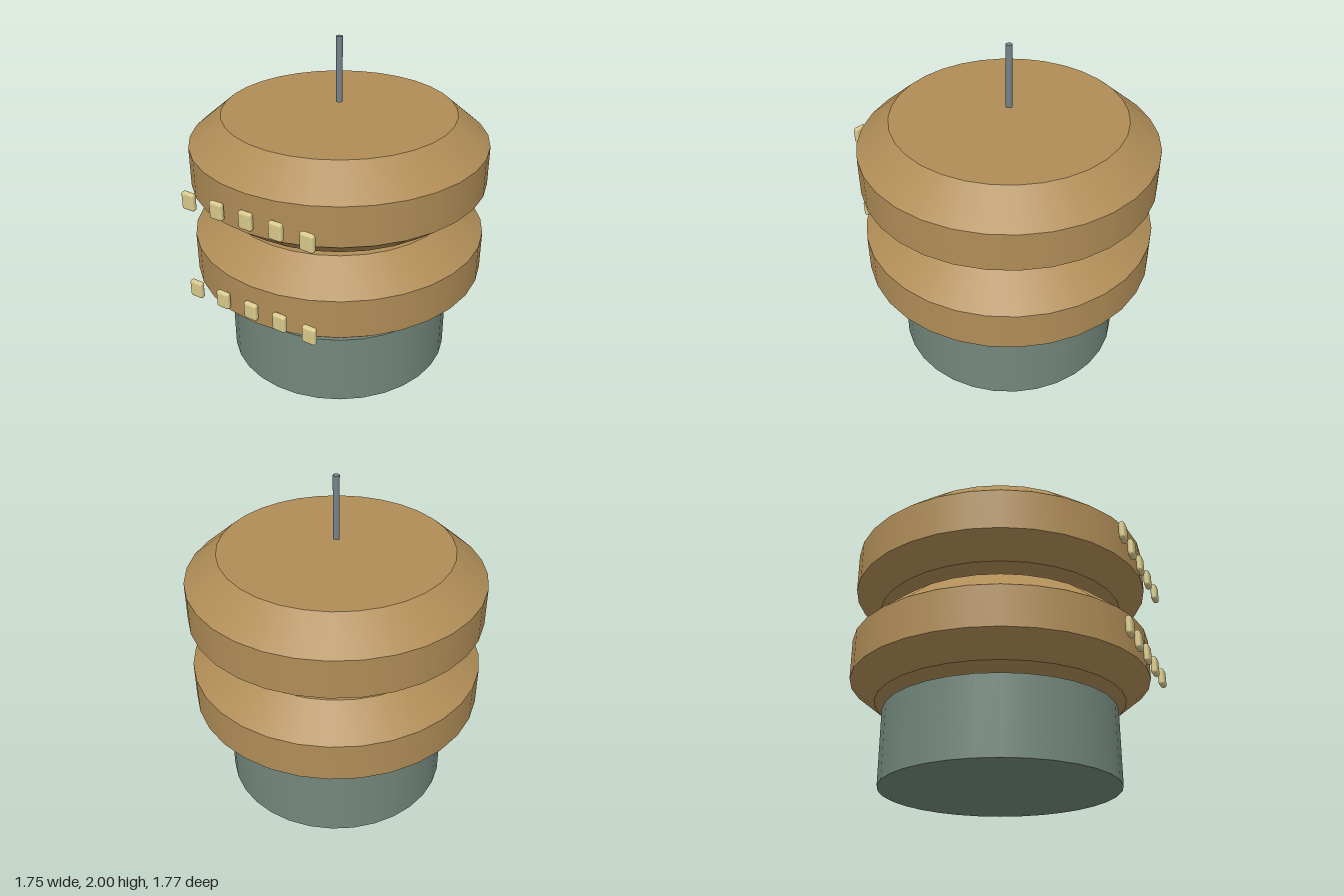
import * as THREE from 'three';
import { mergeGeometries } from 'three/addons/utils/BufferGeometryUtils.js';
import { RoundedBoxGeometry } from 'three/addons/geometries/RoundedBoxGeometry.js';

const material = (name, color) => {
  const m = new THREE.MeshStandardMaterial({ color });
  m.name = name;
  return m;
};

// Revolves each profile segment on its own, so bands are smooth around and sharp between
function turned(profile, segments) {
  const bands = [];
  for (let i = 0; i < profile.length - 1; i++) {
    const ends = [profile[i], profile[i + 1]].map(([r, y]) => new THREE.Vector2(r, y));
    bands.push(new THREE.LatheGeometry(ends, segments));
  }
  return mergeGeometries(bands);
}

export function createModel() {
  const bronze = material('bronze', 0xb08d57);
  const cream = material('pale yellow', 0xd8c98c);
  const teal = material('grey green', 0x72877c);
  const steel = material('steel grey', 0x76828a);

  const model = new THREE.Group();
  model.name = 'stackedDrums';
  const axisZ = -0.012;

  const add = (parent, name, geometry, mat, x, y, z) => {
    const mesh = new THREE.Mesh(geometry, mat);
    mesh.name = name;
    mesh.position.set(x, y, z);
    parent.add(mesh);
  };

  // Base cylinder
  add(model, 'base', new THREE.CylinderGeometry(0.681, 0.681, 0.437, 32), teal, 0, 0.2185, axisZ);

  // Two bevelled drums, each with a row of five windows across the front
  const drumGeometry = turned(
    [[0, 0], [0.727, 0], [0.873, 0.116], [0.873, 0.35], [0.681, 0.513], [0, 0.513]], 32);
  const windowGeometry = new RoundedBoxGeometry(0.085, 0.104, 0.035, 3, 0.015);
  [['lowerDrum', 0.488], ['upperDrum', 1.053]].forEach(([name, y]) => {
    const tier = new THREE.Group();
    tier.name = name;
    tier.position.y = y;
    add(tier, name + 'Body', drumGeometry, bronze, 0, 0, axisZ);
    for (let i = -2; i <= 2; i++) {
      add(tier, name + 'Window', windowGeometry, cream, i * 0.194, 0.196, 0.868);
    }
    model.add(tier);
  });

  // Thin mast above the top drum
  add(model, 'mast', new THREE.CylinderGeometry(0.019, 0.019, 0.384, 12), steel, 0, 1.808, axisZ);

  return model;
}
